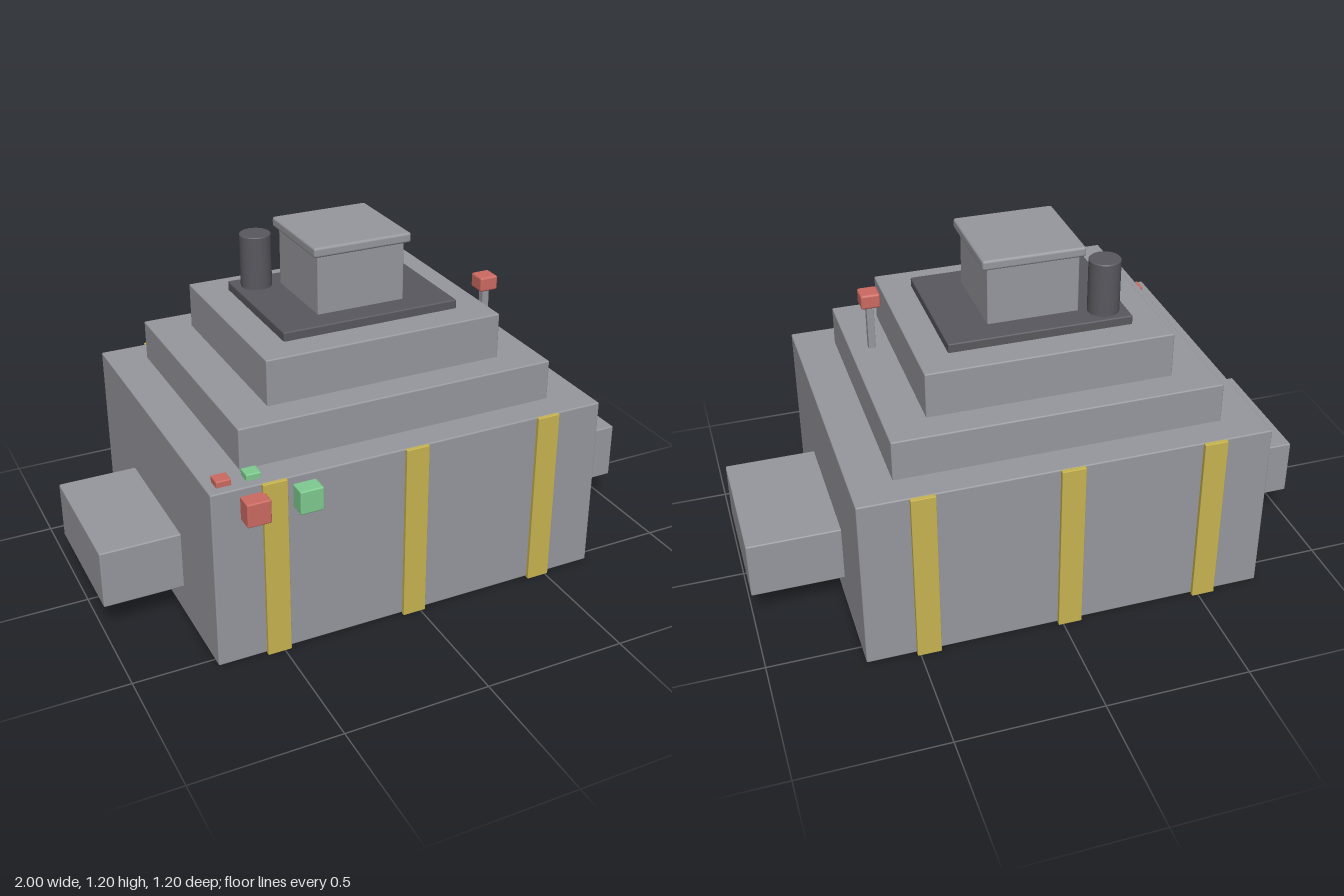
import * as THREE from 'three';
import { RoundedBoxGeometry } from 'three/addons/geometries/RoundedBoxGeometry.js';

const material = (name, color) => new THREE.MeshStandardMaterial({ name, color });

export function createModel() {
  const model = new THREE.Group();
  model.name = 'steppedMachine';

  const grey = material('steel grey', 0x97989e);
  const dark = material('dark steel', 0x59585f);
  const yellow = material('warning yellow', 0xc8b450);
  const red = material('signal red', 0xcc6a62);
  const green = material('signal green', 0x7fcb90);

  // Softly bevelled box given by its limits on each axis
  function block(name, mat, [x0, x1], [y0, y1], [z0, z1], bevel = 0.005) {
    const geometry = new RoundedBoxGeometry(x1 - x0, y1 - y0, z1 - z0, 2, bevel);
    const mesh = new THREE.Mesh(geometry, mat);
    mesh.name = name;
    mesh.position.set((x0 + x1) / 2, (y0 + y1) / 2, (z0 + z1) / 2);
    model.add(mesh);
    return mesh;
  }

  // Main body and the stepped tiers above it
  block('body', grey, [-0.725, 0.68], [0.004, 0.636], [-0.585, 0.543]);
  block('lowerTier', grey, [-0.588, 0.538], [0.63, 0.777], [-0.477, 0.437]);
  block('upperTier', grey, [-0.447, 0.397], [0.77, 0.935], [-0.371, 0.332]);
  block('darkPlate', dark, [-0.341, 0.291], [0.925, 0.966], [-0.265, 0.226]);

  // Tower with overhanging cap
  block('tower', grey, [-0.182, 0.133], [0.96, 1.175], [-0.175, 0.14], 0.004);
  block('towerCap', grey, [-0.199, 0.152], [1.168, 1.203], [-0.193, 0.156], 0.009);

  // Side ports
  block('rightPort', grey, [-1, -0.715], [0.111, 0.318], [-0.265, 0.226]);
  block('leftPort', grey, [0.67, 1], [0.111, 0.318], [-0.265, 0.226]);

  // Upright stripes on front and back
  for (const x of [-0.518, -0.024, 0.47]) {
    const span = [x - 0.041, x + 0.041];
    block('frontStripe', yellow, span, [0, 0.636], [0.541, 0.556], 0.002);
    block('backStripe', yellow, span, [0, 0.636], [-0.6, -0.583], 0.002);
  }

  // Exhaust pipe with a small bevelled rim
  const pipeProfile = [[0, 0], [0.054, 0], [0.054, 0.183], [0.05, 0.188], [0, 0.188]];
  const pipeGeometry = new THREE.CylinderGeometry(0.054, 0.054, 0.185, 32);
  const pipe = new THREE.Mesh(pipeGeometry, dark);
  pipe.name = 'exhaustPipe';
  pipe.position.set(-0.263, 1.0585, -0.193);
  const rim = new THREE.Mesh(new THREE.CylinderGeometry(0.051, 0.054, 0.003, 32), dark);
  rim.name = 'exhaustRim';
  rim.position.set(-0.263, 1.1525, -0.193);
  model.add(pipe, rim);

  // Lever with its knob
  block('leverRod', grey, [0.449, 0.474], [0.77, 0.95], [0.11, 0.136], 0.002);
  block('leverKnob', red, [0.428, 0.495], [0.94, 0.992], [0.088, 0.156], 0.008);

  // Front and top buttons
  [[red, -0.59, -0.668], [green, -0.415, -0.57]].forEach(([mat, frontX, topX]) => {
    block('frontButton', mat, [frontX - 0.04, frontX + 0.04], [0.526, 0.608], [0.535, 0.6]);
    block('topButton', mat, [topX - 0.025, topX + 0.025], [0.628, 0.657], [0.461, 0.51], 0.004);
  });

  return model;
}
